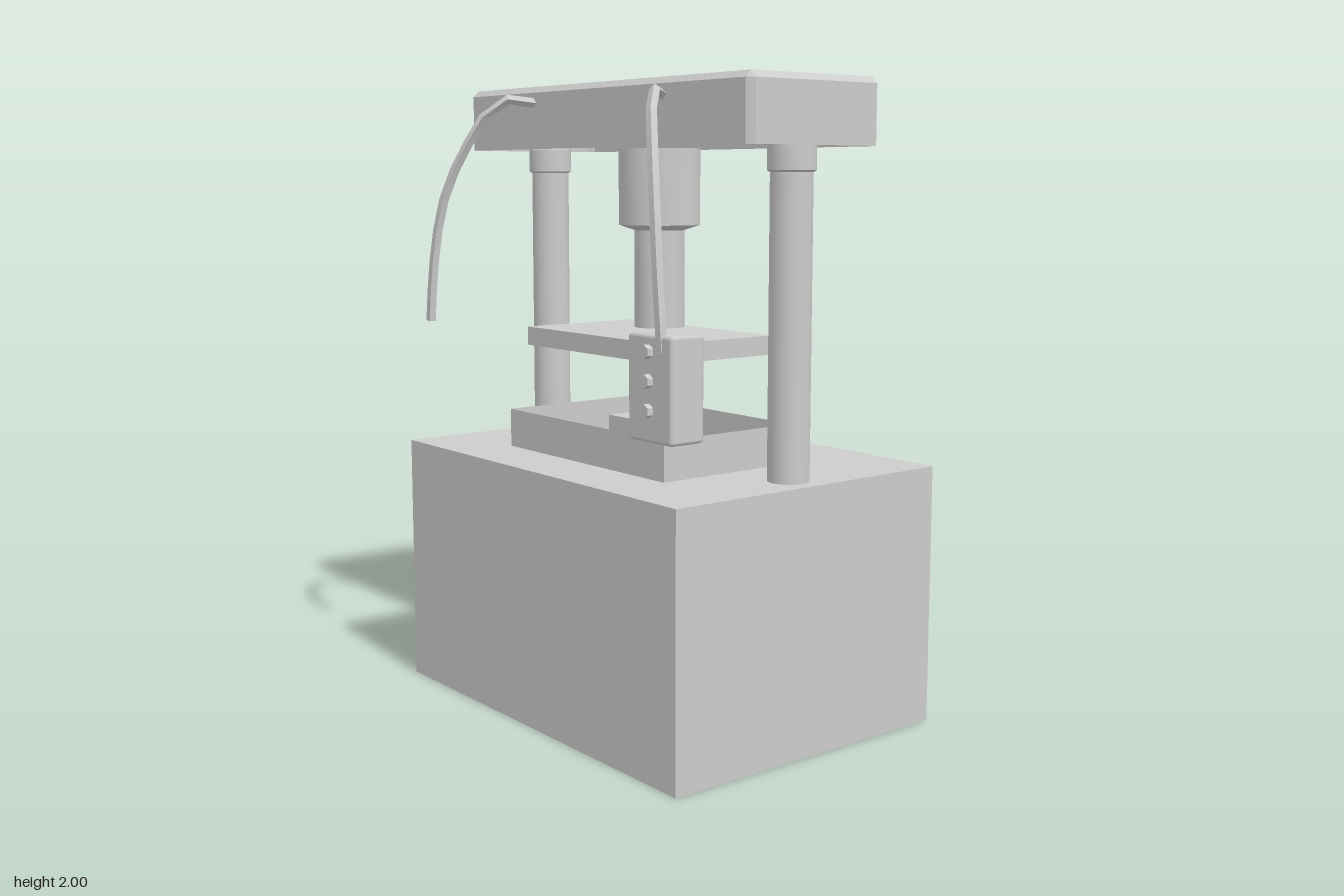
import * as THREE from 'three';
import { RoundedBoxGeometry } from 'three/addons/geometries/RoundedBoxGeometry.js';
import { toCreasedNormals } from 'three/addons/utils/BufferGeometryUtils.js';

const grey = new THREE.MeshStandardMaterial({ color: 0xcccccc, side: THREE.DoubleSide });
grey.name = 'machine grey';

// Box from its limits; faces listed in "open" (0 +x, 1 -x, 2 top, 3 bottom, 4 front, 5 back) are left out
function box(x0, x1, y0, y1, z0, z1, open = []) {
  const g = new THREE.BoxGeometry(x1 - x0, y1 - y0, z1 - z0);
  g.setIndex([...g.index.array].filter((_, i) => !open.includes(Math.floor(i / 6))));
  g.clearGroups();
  return g.translate((x0 + x1) / 2, (y0 + y1) / 2, (z0 + z1) / 2);
}

// Turned part from [radius, height] pairs, bottom to top
function turned(profile, sides = 32) {
  const g = new THREE.LatheGeometry(profile.map(([r, y]) => new THREE.Vector2(r, y)), sides);
  return toCreasedNormals(g, 0.5);
}

// Hollow housing: chamfered rectangles stacked and closed at the top
function housing(levels) {
  const rings = levels.map(([w, d, c, y]) => [
    [w, d - c], [w, -d + c], [w - c, -d], [-w + c, -d],
    [-w, -d + c], [-w, d - c], [-w + c, d], [w - c, d],
  ].map(([x, z]) => [x, y, z]));
  const pos = [];
  for (let k = 0; k < rings.length - 1; k++) {
    for (let i = 0; i < 8; i++) {
      const j = (i + 1) % 8;
      const a = rings[k][i], b = rings[k][j], c = rings[k + 1][j], d = rings[k + 1][i];
      pos.push(...a, ...b, ...c, ...a, ...c, ...d);
    }
  }
  const top = rings[rings.length - 1];
  for (let i = 1; i < 7; i++) pos.push(...top[0], ...top[i], ...top[i + 1]);
  const g = new THREE.BufferGeometry();
  g.setAttribute('position', new THREE.Float32BufferAttribute(pos, 3));
  g.computeVertexNormals();
  return g;
}

export function createModel() {
  const model = new THREE.Group();
  model.name = 'press';
  const add = (name, geometry, parent = model) => {
    const mesh = new THREE.Mesh(geometry, grey);
    mesh.name = name;
    parent.add(mesh);
    return mesh;
  };

  // Hollow cabinet and crosshead, both open underneath
  add('baseCabinet', box(-0.72, 0.72, 0, 0.82, -0.513, 0.513, [3]));
  add('crosshead', housing([
    [0.72, 0.255, 0.02, 1.8],
    [0.72, 0.255, 0.02, 1.98],
    [0.7, 0.235, 0.002, 2],
  ]));

  // Columns with collars and top nuts
  for (const [side, s] of [['left', 1], ['right', -1]]) {
    add(side + 'Column', turned([
      [0.063, 0.82], [0.063, 1.725], [0.072, 1.73], [0.072, 1.805],
      [0.054, 1.815], [0.054, 1.845], [0.045, 1.86], [0, 1.86],
    ])).position.x = s * 0.614;
  }

  // Ram: wide cylinder above a narrower rod
  add('ram', turned([
    [0, 1.233], [0.08, 1.233], [0.08, 1.543], [0.13, 1.56], [0.13, 1.8], [0, 1.8],
  ], 40));
  add('pressPlate', box(-0.36, 0.36, 1.162, 1.222, -0.16, 0.27));

  // Thin-walled tray with the workpiece inside
  add('tray', box(-0.41, 0.41, 0.82, 0.945, -0.203, 0.308, [2, 3]));
  add('workpiece', box(-0.13, 0.13, 0.888, 0.94, -0.007, 0.108));

  // Hanging cables
  const path = [
    [0.325, 1.945, 0.24], [0.37, 1.962, 0.305], [0.42, 1.93, 0.36], [0.5, 1.79, 0.42],
    [0.56, 1.64, 0.46], [0.6, 1.43, 0.48], [0.622, 1.235, 0.483],
  ];
  for (const [side, s] of [['left', 1], ['right', -1]]) {
    const curve = new THREE.CatmullRomCurve3(path.map(([x, y, z]) => new THREE.Vector3(s * x, y, z)));
    const tube = new THREE.TubeGeometry(curve, 9, 0.016, 4);
    add(side + 'Cable', toCreasedNormals(tube, 0.6));
  }

  // Control pendant with three hexagonal buttons
  const pendant = new THREE.Group();
  pendant.name = 'controlPendant';
  model.add(pendant);
  add('pendantCase', new RoundedBoxGeometry(0.196, 0.304, 0.12, 1, 0.012).translate(0.574, 1.131, 0.431), pendant);
  for (const y of [1.235, 1.153, 1.07]) {
    const button = new THREE.CylinderGeometry(0.02, 0.02, 0.03, 6).rotateX(Math.PI / 2);
    add('button', toCreasedNormals(button, 0.5).translate(0.575, y, 0.495), pendant);
  }
  return model;
}
